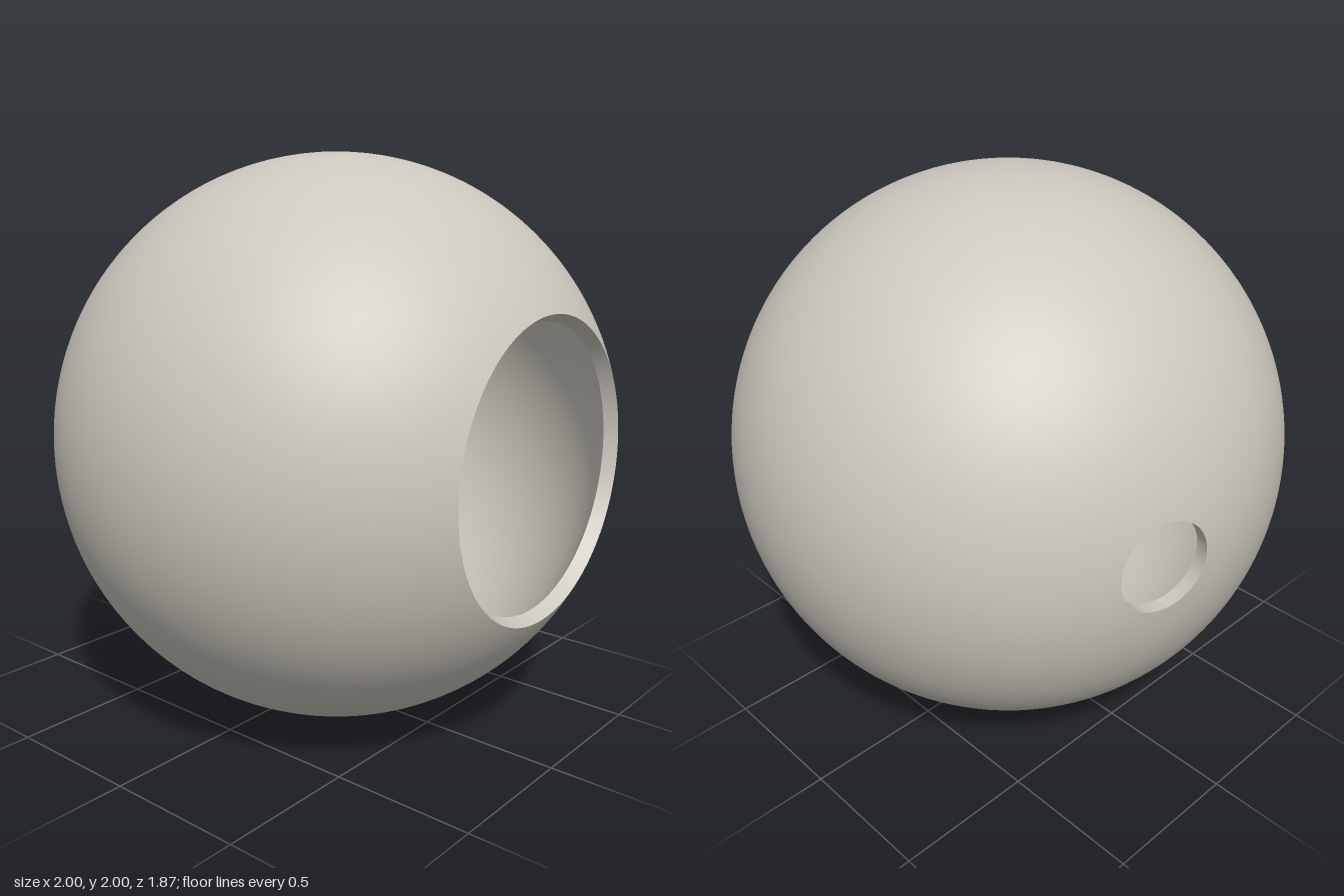
import * as THREE from 'three';

const OUTER = 1, INNER = 0.95;      // shell radii
const CENTRE = new THREE.Vector3(0, 1, 0.067);
const FRONT_ANGLE = Math.PI / 6;    // half-angle of the large front opening
const BACK_RADIUS = 0.16;           // radius of the small drilled hole
const SIDES = 128;

// Ring axis swings from the front opening to the line through the back hole
const frontAxis = new THREE.Quaternion();
const backAxis = new THREE.Quaternion().setFromUnitVectors(
  new THREE.Vector3(0, 0, 1),
  new THREE.Vector3(-0.253, -0.0135, 0.966).normalize()
);

// Edge circles: shell radius r, polar angle a, axis swing t
const frontEdge = (r) => ({ r, a: FRONT_ANGLE, t: 0 });
const backEdge = (r) => ({ r, a: Math.PI - Math.asin(BACK_RADIUS / r), t: 1 });

// Smooth band of rings between two edge circles
function band(from, to, steps) {
  const positions = [], index = [];
  const p = new THREE.Vector3(), q = new THREE.Quaternion();
  for (let i = 0; i <= steps; i++) {
    const k = i / steps;
    const r = THREE.MathUtils.lerp(from.r, to.r, k);
    const a = THREE.MathUtils.lerp(from.a, to.a, k);
    q.slerpQuaternions(frontAxis, backAxis, THREE.MathUtils.lerp(from.t, to.t, k));
    for (let j = 0; j < SIDES; j++) {
      const f = (j / SIDES) * Math.PI * 2;
      p.set(Math.sin(a) * Math.cos(f), Math.sin(a) * Math.sin(f), Math.cos(a));
      p.multiplyScalar(r).applyQuaternion(q).add(CENTRE);
      positions.push(p.x, p.y, p.z);
      if (i < steps) {
        const n = (j + 1) % SIDES, b = i * SIDES, c = b + SIDES;
        index.push(b + j, c + j, b + n, c + j, c + n, b + n);
      }
    }
  }
  const g = new THREE.BufferGeometry();
  g.setAttribute('position', new THREE.Float32BufferAttribute(positions, 3));
  g.setIndex(index);
  g.computeVertexNormals();
  return g;
}

export function createModel() {
  const group = new THREE.Group();
  group.name = 'hollowSphere';
  const warmGrey = new THREE.MeshStandardMaterial({ color: 0xccc8be });
  warmGrey.name = 'warmGrey';

  const add = (name, from, to, steps) => {
    const mesh = new THREE.Mesh(band(from, to, steps), warmGrey);
    mesh.name = name;
    group.add(mesh);
  };

  // Closed skin: outside, hole wall, inside, front rim
  add('outerShell', frontEdge(OUTER), backEdge(OUTER), 96);
  add('backHoleWall', backEdge(OUTER), backEdge(INNER), 1);
  add('innerShell', backEdge(INNER), frontEdge(INNER), 96);
  add('frontRim', frontEdge(INNER), frontEdge(OUTER), 1);
  return group;
}
